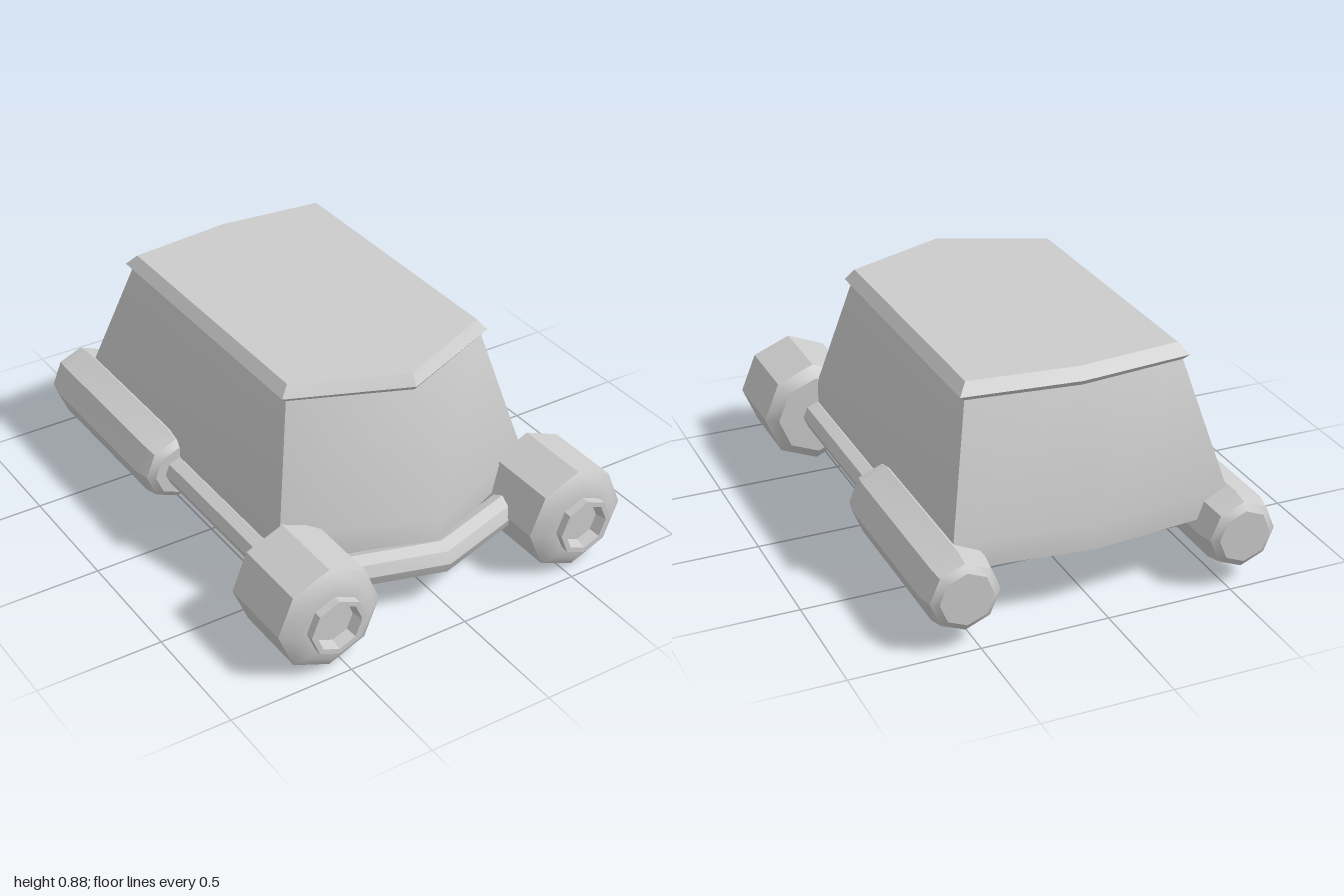
import * as THREE from 'three';
import { toCreasedNormals } from 'three/addons/utils/BufferGeometryUtils.js';

const material = new THREE.MeshStandardMaterial({ color: 0xcccccc, side: THREE.DoubleSide });

function addMesh(parent, name, geometry, crease) {
  const mesh = new THREE.Mesh(toCreasedNormals(geometry, crease), material);
  mesh.name = name;
  parent.add(mesh);
  return mesh;
}

// Six-sided plan outlines, stacked and joined; row = [y, halfWidth, noseZ, frontCornerZ, rearCornerZ, tailZ]
function hexLoft(rows, capTop) {
  const positions = [];
  const rings = rows.map(([y, w, nose, front, rear, tail]) => [
    [0, y, nose], [w, y, front], [w, y, rear], [0, y, tail], [-w, y, rear], [-w, y, front],
  ]);
  for (let r = 0; r < rings.length - 1; r++) {
    for (let i = 0; i < 6; i++) {
      const j = (i + 1) % 6;
      const a = rings[r][i], b = rings[r][j], c = rings[r + 1][j], d = rings[r + 1][i];
      positions.push(...a, ...b, ...c, ...a, ...c, ...d);
    }
  }
  if (capTop) {
    const top = rings[rings.length - 1];
    for (let i = 1; i < 5; i++) positions.push(...top[0], ...top[i], ...top[i + 1]);
  }
  const geometry = new THREE.BufferGeometry();
  geometry.setAttribute('position', new THREE.Float32BufferAttribute(positions, 3));
  return geometry;
}

// Eight-sided turned part lying along z; profile = [radius, z]
function turnedAlongZ(profile) {
  const points = profile.map(([r, z]) => new THREE.Vector2(r, z));
  return new THREE.LatheGeometry(points, 8).rotateX(Math.PI / 2);
}

export function createModel() {
  const model = new THREE.Group();
  model.name = 'vehicle';

  // Hollow cabin, open underneath
  addMesh(model, 'cabinShell', hexLoft([
    [0.25, 0.545, 0.82, 0.59, -0.86, -0.92],
    [0.35, 0.545, 0.82, 0.59, -0.86, -0.92],
    [0.825, 0.43, 0.64, 0.455, -0.695, -0.745],
  ], false), 0.87);

  // Roof with an overhanging bevelled lip
  addMesh(model, 'roof', hexLoft([
    [0.822, 0.43, 0.638, 0.455, -0.695, -0.745],
    [0.842, 0.452, 0.653, 0.466, -0.71, -0.757],
    [0.885, 0.418, 0.625, 0.445, -0.675, -0.72],
  ], true), 0.6);

  // Front pod, rear pod and connecting rod on each side
  for (const [prefix, side] of [['left', 1], ['right', -1]]) {
    const assembly = new THREE.Group();
    assembly.name = prefix + 'PodAssembly';
    assembly.position.set(0.551 * side, 0.214, 0);
    model.add(assembly);

    addMesh(assembly, 'frontPod', turnedAlongZ([
      [0, 0.577], [0.165, 0.58], [0.212, 0.618], [0.212, 0.932], [0.165, 0.963], [0.116, 0.967],
      [0.116, 1], [0.095, 1], [0.084, 0.955], [0, 0.955],
    ]), 0.6);
    addMesh(assembly, 'rearPod', turnedAlongZ([
      [0, -1], [0.104, -1], [0.133, -0.98], [0.147, -0.918],
      [0.147, -0.23], [0.133, -0.17], [0.104, -0.148], [0, -0.148],
    ]), 0.6);
    addMesh(assembly, 'connectingRod', turnedAlongZ([[0.061, -0.2], [0.061, 0.62]]), 0.6);
  }

  // Swept bumper bar between the front pods, bent at the middle
  const bar = new THREE.CylinderGeometry(0.065, 0.065, 1.1, 8, 2, true).rotateZ(Math.PI / 2);
  const p = bar.attributes.position;
  for (let i = 0; i < p.count; i++) {
    p.setZ(i, p.getZ(i) + 0.835 - 0.3 * Math.abs(p.getX(i)));
  }
  addMesh(model, 'frontBumper', bar, 0.65).position.y = 0.204;

  return model;
}
